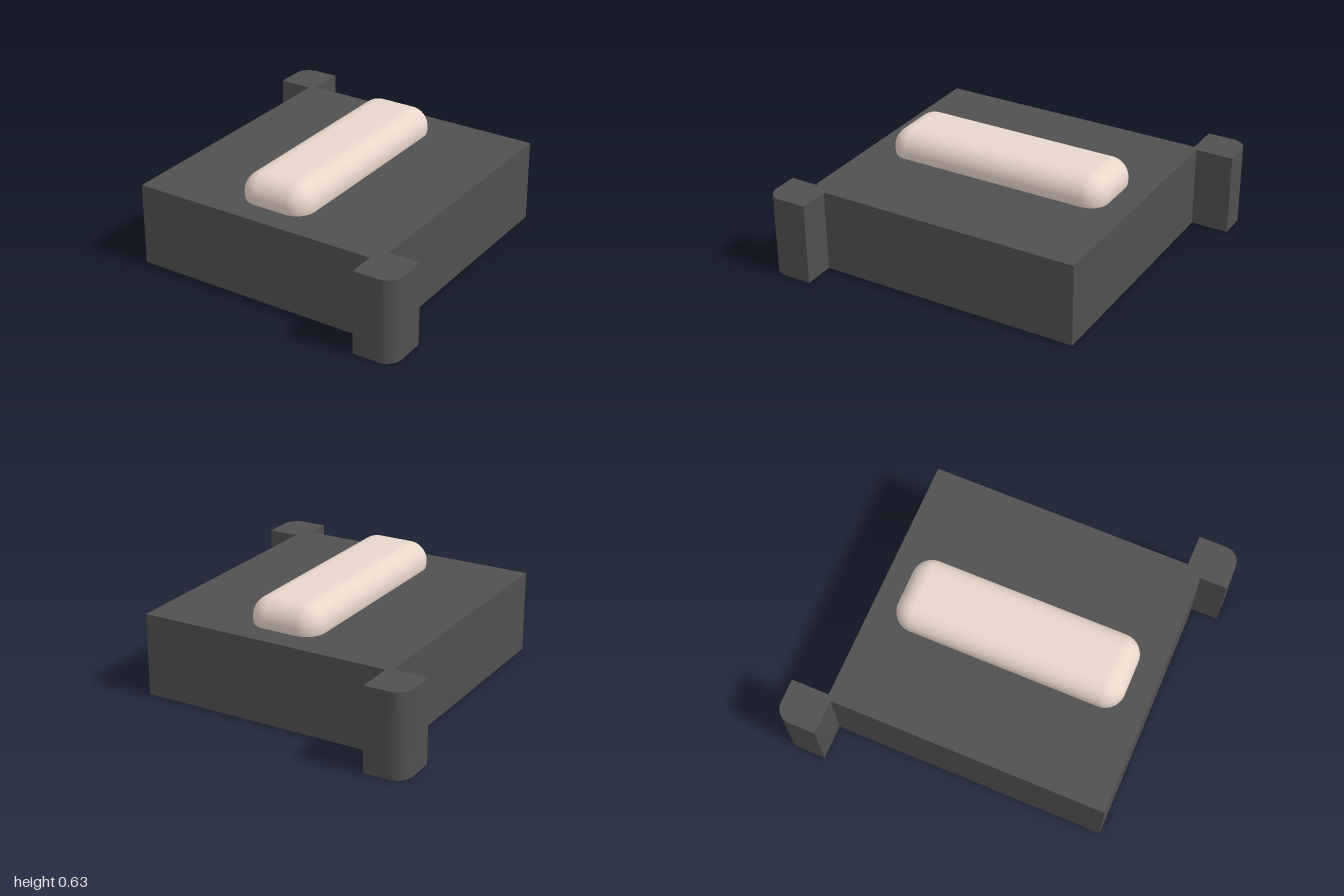
import * as THREE from 'three';
import { toCreasedNormals } from 'three/addons/utils/BufferGeometryUtils.js';
import { RoundedBoxGeometry } from 'three/addons/geometries/RoundedBoxGeometry.js';

const BODY_HEIGHT = 0.475;
const CORNER = 0.09;

// Plan outline of the block with its two opposite corner lugs (shape y = -z)
function bodyOutline() {
  const s = new THREE.Shape();
  s.moveTo(-0.745, -0.845);
  s.lineTo(0.68, -0.845);
  s.quadraticCurveTo(0.7, -0.845, 0.71, -0.835);
  // front lug
  s.lineTo(0.71, -1);
  s.lineTo(0.945 - CORNER, -1);
  s.absarc(0.945 - CORNER, -1 + CORNER, CORNER, -Math.PI / 2, 0, false);
  s.lineTo(0.945, -0.75);
  s.lineTo(0.762, -0.75);
  s.lineTo(0.762, 0.78);
  // back lug
  s.lineTo(-0.715, 0.78);
  s.lineTo(-0.715, 1);
  s.lineTo(-0.945 + CORNER, 1);
  s.absarc(-0.945 + CORNER, 1 - CORNER, CORNER, Math.PI / 2, Math.PI, false);
  s.lineTo(-0.945, 0.755);
  s.lineTo(-0.745, 0.755);
  s.closePath();
  return s;
}

export function createModel() {
  const group = new THREE.Group();
  group.name = 'cornerBlock';

  // Dark block, extruded upward from the ground
  const bodyGeometry = new THREE.ExtrudeGeometry(bodyOutline(), {
    depth: BODY_HEIGHT, bevelEnabled: false, curveSegments: 10,
  });
  bodyGeometry.rotateX(-Math.PI / 2);
  const body = new THREE.Mesh(
    toCreasedNormals(bodyGeometry, 0.6),
    new THREE.MeshStandardMaterial({ color: 0x505050 }),
  );
  body.name = 'body';
  group.add(body);

  // Soft rounded bar, partly sunk into the top of the block
  const bar = new THREE.Mesh(
    new RoundedBoxGeometry(0.43, 0.24, 1.345, 8, 0.115),
    new THREE.MeshStandardMaterial({ color: 0xe8d6ca }),
  );
  bar.name = 'topBar';
  bar.position.set(0, 0.51, 0.033);
  group.add(bar);

  return group;
}
